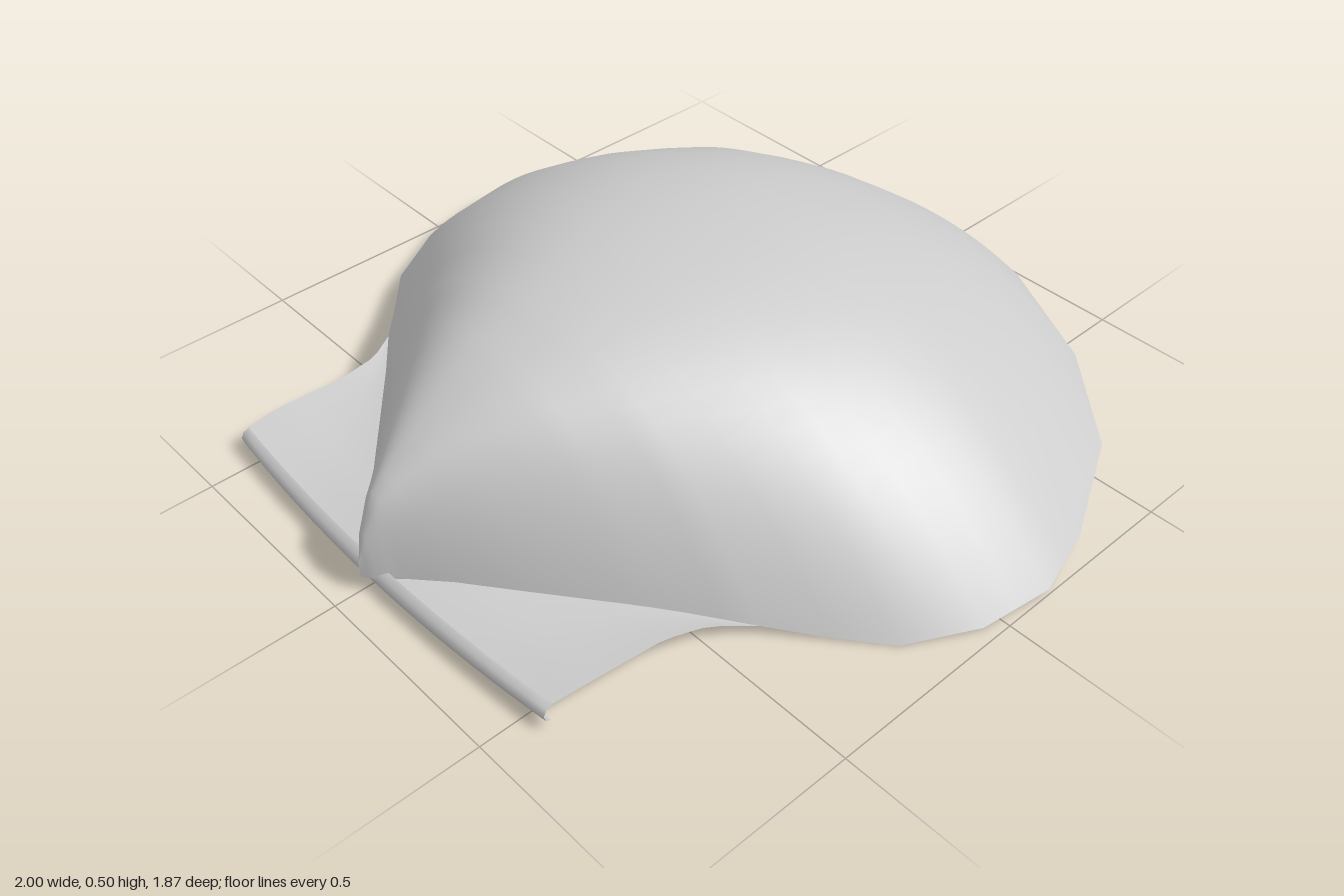
import * as THREE from 'three';

// Piecewise-linear lookup in a list of [key, value]
function lerpTable(table, k) {
  if (k <= table[0][0]) return table[0][1];
  for (let i = 1; i < table.length; i++) {
    const [k0, v0] = table[i - 1], [k1, v1] = table[i];
    if (k <= k1) return v0 + (v1 - v0) * (k - k0) / (k1 - k0);
  }
  return table[table.length - 1][1];
}

// Half width of the dome at each z: round fan edge, then a V towards the beak
const domeWidth = [[-0.94, 0], [-0.89, 0.3], [-0.75, 0.59], [-0.55, 0.82], [-0.3, 0.95],
  [-0.13, 1], [0.05, 0.97], [0.21, 0.88], [0.4, 0.66], [0.49, 0.54], [0.57, 0.44],
  [0.7, 0.28], [0.8, 0.155], [0.87, 0.07], [0.91, 0.03], [0.93, 0]];
// Height of the centre ridge
const ridge = [[-0.94, 0.105], [-0.89, 0.15], [-0.77, 0.24], [-0.6, 0.345], [-0.42, 0.42],
  [-0.25, 0.475], [-0.05, 0.502], [0.15, 0.51], [0.3, 0.5], [0.42, 0.48], [0.56, 0.44],
  [0.65, 0.4], [0.77, 0.33], [0.87, 0.25], [0.91, 0.17], [0.93, 0.09]];
// Height of the lower edge
const rim = [[-0.94, 0.105], [-0.6, 0.07], [-0.3, 0.037], [0, 0.02], [0.2, 0.01],
  [0.3, 0.016], [0.4, 0.035], [0.55, 0.05], [0.8, 0.06], [0.93, 0.05]];
// Outer edge of the ears
const earEdge = [[0.4, 0.66], [0.49, 0.6], [0.6, 0.572], [0.8, 0.565], [0.89, 0.555]];

// Surface from a rule point(i, j); rows run to +z, columns to +x
function gridGeometry(rows, cols, point) {
  const pos = [], index = [];
  for (let i = 0; i <= rows; i++)
    for (let j = 0; j <= cols; j++) pos.push(...point(i, j));
  for (let i = 0; i < rows; i++)
    for (let j = 0; j < cols; j++) {
      const a = i * (cols + 1) + j, b = a + cols + 1;
      index.push(a, b, b + 1, a, b + 1, a + 1);
    }
  const g = new THREE.BufferGeometry();
  g.setAttribute('position', new THREE.Float32BufferAttribute(pos, 3));
  g.setIndex(index);
  g.computeVertexNormals();
  return g;
}

// The front edge bows back towards the ear tips
const bow = (x) => 0.03 * (x / 0.555) ** 2;

export function createModel() {
  const group = new THREE.Group();
  const material = new THREE.MeshStandardMaterial({ color: 0xcccccc, side: THREE.DoubleSide });
  const add = (name, geometry) => {
    const mesh = new THREE.Mesh(geometry, material);
    mesh.name = name;
    group.add(mesh);
  };

  // Domed valve: one arch per z station, with two steps between outline corners
  const stations = [];
  domeWidth.forEach(([z], i) => {
    if (i) stations.push((z + domeWidth[i - 1][0]) / 2);
    stations.push(z);
  });
  const cols = 40;
  add('domedShell', gridGeometry(stations.length - 1, cols, (i, j) => {
    const z = stations[i];
    const u = Math.sin((j / cols - 0.5) * Math.PI);
    const base = lerpTable(rim, z);
    const power = 2.2 + 0.4 * THREE.MathUtils.smoothstep(z, 0.3, 0.8);
    const y = base + (lerpTable(ridge, z) - base) * (1 - Math.abs(u) ** power);
    return [u * lerpTable(domeWidth, z), y, z];
  }));

  // Flat ears filling the corners on both sides of the beak
  const earRows = 14, earCols = 8;
  for (const side of [1, -1]) {
    add(side > 0 ? 'leftEar' : 'rightEar', gridGeometry(earRows, earCols, (i, j) => {
      const t = i / earRows, z = 0.4 + 0.49 * t;
      const v = side > 0 ? j / earCols : 1 - j / earCols;
      const x = THREE.MathUtils.lerp(lerpTable(domeWidth, z), lerpTable(earEdge, z), v);
      const y = lerpTable(rim, z) + 0.018 * t * v - 0.012 * Math.sin(Math.PI * v) * t;
      return [side * x, y, z - bow(x) * t];
    }));
  }

  // Rolled lip along the straight hinge edge
  const lip = [[0.89, 0.07], [0.905, 0.062], [0.912, 0.045], [0.908, 0.028], [0.895, 0.018]];
  const lipCols = 20;
  add('hingeLip', gridGeometry(lip.length - 1, lipCols, (i, j) => {
    const x = 0.555 * (2 * j / lipCols - 1);
    const [z, y] = lip[i];
    return [x, y + 0.01 * (x / 0.555) ** 2 * (i / 4), z - bow(x)];
  }));

  return group;
}
